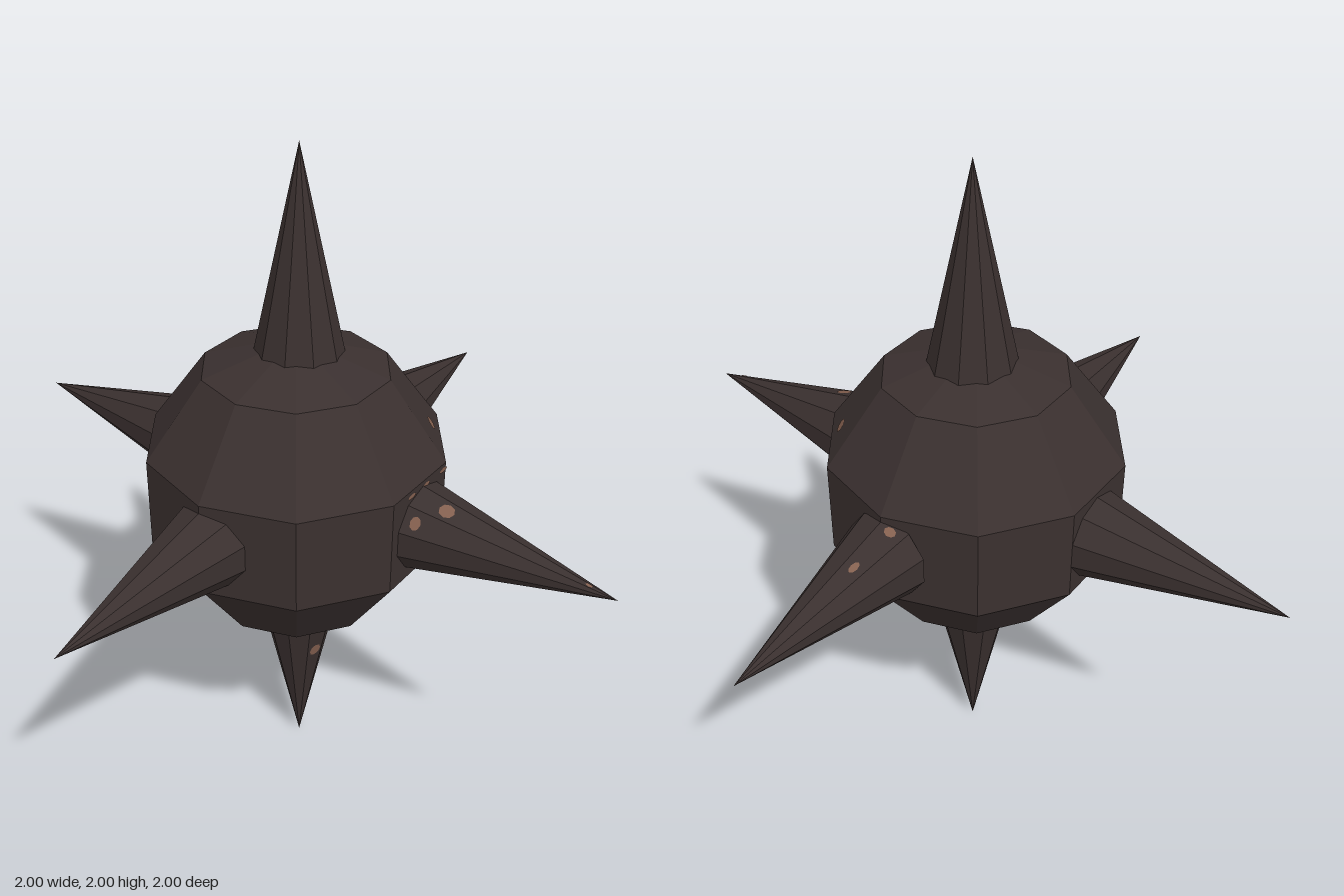
import * as THREE from 'three';

const SIDES = 10;
const BASE = 0.4;      // distance of a spike's base from the centre
const RADIUS = 0.13;   // spike base radius
const BALL = 0.46;
const BALL_Z = 0.015;

export function createModel() {
  const model = new THREE.Group();
  model.name = 'spikedBall';

  const iron = new THREE.MeshStandardMaterial({ name: 'darkIron', color: 0x3a302f, flatShading: true });
  const rust = new THREE.MeshStandardMaterial({ name: 'rust', color: 0x84604f });

  // Thin rust fleck lying on a flat facet
  function addFleck(parent, point, normal, width, height) {
    const shape = new THREE.Shape();
    shape.absellipse(0, 0, width / 2, height / 2, 0, Math.PI * 2);
    const fleck = new THREE.Mesh(new THREE.ShapeGeometry(shape, 4), rust);
    fleck.name = 'rustFleck';
    fleck.position.copy(point).addScaledVector(normal, 0.002);
    fleck.up.set(0, 1, 0);
    fleck.lookAt(fleck.position.clone().add(normal));
    parent.add(fleck);
  }

  // Faceted ball, corners pointing to the front and back
  const ballGroup = new THREE.Group();
  ballGroup.name = 'ball';
  ballGroup.position.set(0, 1, BALL_Z);
  const ballGeometry = new THREE.SphereGeometry(BALL, SIDES, 5).rotateY(Math.PI / 2);
  const ball = new THREE.Mesh(ballGeometry, iron);
  ball.name = 'ballBody';
  ballGroup.add(ball);
  model.add(ballGroup);

  // Flecks on the ball's left side
  for (const [z, w] of [[-0.12, 0.04], [-0.03, 0.035], [0.045, 0.04]]) {
    addFleck(ballGroup, new THREE.Vector3(0.416, 0.125, z), new THREE.Vector3(1, 0, 0), w, 0.014);
  }
  const az = Math.PI / 5;
  const slope = new THREE.Vector3(0.23 * Math.cos(az), 0.159, -0.23 * Math.sin(az)).normalize();
  addFleck(ballGroup, new THREE.Vector3(0.383 * Math.cos(az), 0.19, -0.383 * Math.sin(az)), slope, 0.045, 0.04);

  // Spike along local +y, a corner of its base on local x
  const spikeGeometry = new THREE.ConeGeometry(RADIUS, 1 - BASE, SIDES)
    .rotateY(Math.PI / 2).translate(0, (1 + BASE) / 2, 0);

  // Each fleck: facet angle in degrees, distance from centre, width, height
  const spikes = [
    ['topSpike', [0, 1, 0], []],
    ['bottomSpike', [0, -1, 0], [[-18, 0.6, 0.04, 0.045]]],
    ['leftSpike', [1, 0, 0], [[-18, 0.51, 0.045, 0.045], [-54, 0.45, 0.04, 0.03], [-18, 0.92, 0.008, 0.02]]],
    ['rightSpike', [-1, 0, 0], []],
    ['frontSpike', [0, 0, 1], []],
    ['backSpike', [0, 0, -1], [[18, 0.43, 0.035, 0.03], [18, 0.57, 0.02, 0.04]]],
  ];
  const apothem = RADIUS * Math.cos(Math.PI / SIDES);
  for (const [name, dir, flecks] of spikes) {
    const group = new THREE.Group();
    group.name = name;
    const y = new THREE.Vector3(...dir);
    const x = dir[1] ? new THREE.Vector3(1, 0, 0) : new THREE.Vector3(0, 1, 0);
    const z = x.clone().cross(y);
    group.quaternion.setFromRotationMatrix(new THREE.Matrix4().makeBasis(x, y, z));

    const spike = new THREE.Mesh(spikeGeometry, iron);
    spike.name = name + 'Cone';
    group.add(spike);

    for (const [degrees, t, w, h] of flecks) {
      const a = THREE.MathUtils.degToRad(degrees);
      const r = apothem * (1 - t) / (1 - BASE);
      const point = new THREE.Vector3(r * Math.cos(a), t, r * Math.sin(a));
      const normal = new THREE.Vector3((1 - BASE) * Math.cos(a), apothem, (1 - BASE) * Math.sin(a)).normalize();
      addFleck(group, point, normal, w, h);
    }
    group.position.y = 1;
    model.add(group);
  }

  return model;
}
